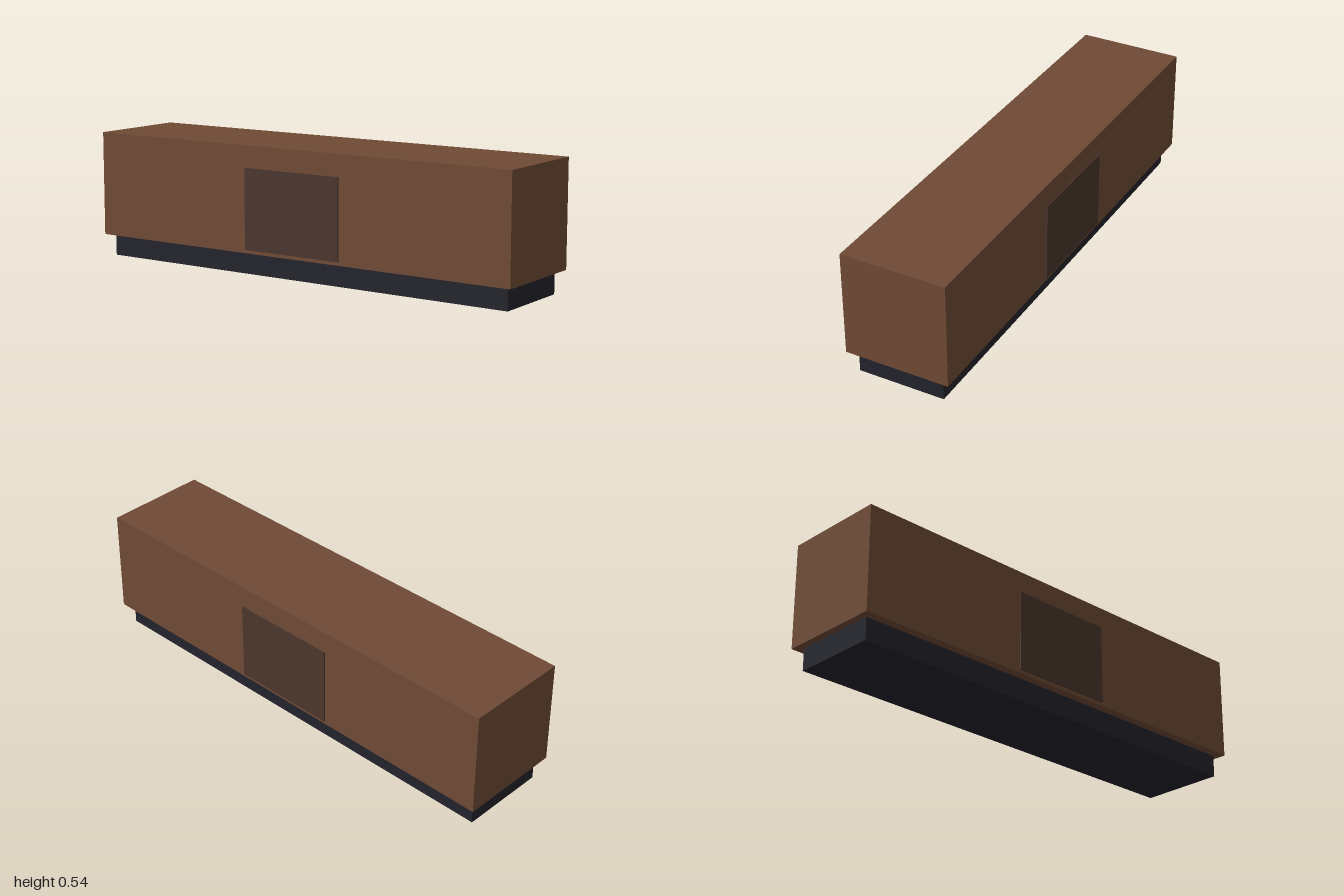
import * as THREE from 'three';

const material = (name, color) => {
  const m = new THREE.MeshStandardMaterial({ color });
  m.name = name;
  return m;
};

export function createModel() {
  const group = new THREE.Group();
  group.name = 'railCar';

  const brown = material('brown', 0x6f4a35);
  const darkBrown = material('darkBrown', 0x4a352d);
  const charcoal = material('charcoal', 0x22222c);

  // Box standing on height y0 and reaching y1
  const box = (name, mat, width, y0, y1, depth, x = 0) => {
    const mesh = new THREE.Mesh(new THREE.BoxGeometry(width, y1 - y0, depth), mat);
    mesh.name = name;
    mesh.position.set(x, (y0 + y1) / 2, 0);
    group.add(mesh);
  };

  // Underframe and main body
  box('underframe', charcoal, 0.37, 0, 0.094, 1.94);
  box('body', brown, 0.446, 0.094, 0.539, 2);

  // Thin sliding door on each side
  for (const [name, side] of [['leftDoor', 1], ['rightDoor', -1]]) {
    box(name, darkBrown, 0.008, 0.109, 0.447, 0.46, side * 0.2245);
  }

  return group;
}
